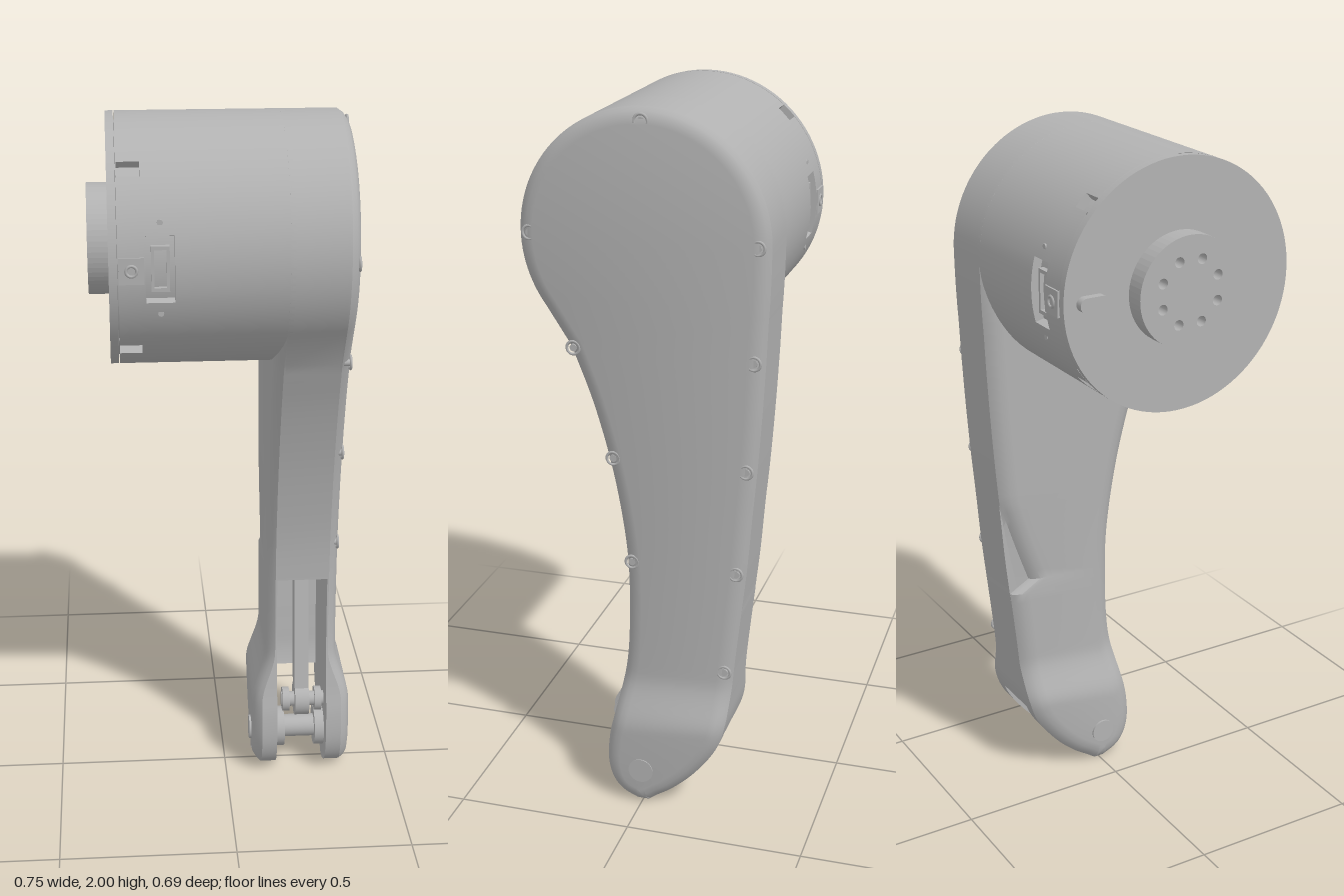
import * as THREE from 'three';
import { toCreasedNormals } from 'three/addons/utils/BufferGeometryUtils.js';

const CY = 1.659, R = 0.341; // drum axis height and radius

export function createModel() {
  const group = new THREE.Group();
  const grey = new THREE.MeshStandardMaterial({ color: 0xb2b2b2, side: THREE.DoubleSide });
  grey.name = 'light grey';

  const add = (name, geo, x = 0, y = 0, z = 0) => {
    const m = new THREE.Mesh(geo, grey);
    m.name = name;
    m.position.set(x, y, z);
    group.add(m);
    return m;
  };
  // cylinder lying along x, from x0 to x1
  const rod = (name, x0, x1, r, y, z, n = 32) =>
    add(name, new THREE.CylinderGeometry(r, r, x1 - x0, n).rotateZ(-Math.PI / 2), (x0 + x1) / 2, y, z);
  const fromTriangles = (pos, crease = 0.6) => {
    const g = new THREE.BufferGeometry();
    g.setAttribute('position', new THREE.Float32BufferAttribute(pos, 3));
    g.computeVertexNormals();
    return toCreasedNormals(g, crease);
  };

  // Side outline of the arm as rows: x = front edge z, y = height, z = back edge z
  const table = [
    [0.015, 0.002, -0.015], [0.055, 0.02, -0.04], [0.085, 0.05, -0.085], [0.104, 0.11, -0.15], [0.1, 0.2, -0.215],
    [0.085, 0.27, -0.238], [0.07, 0.35, -0.247], [0.055, 0.45, -0.256], [0.049, 0.6, -0.272], [0.053, 0.75, -0.288],
    [0.073, 0.9, -0.3], [0.102, 1.04, -0.312], [0.148, 1.2, -0.323], [0.205, 1.35, -0.331],
  ];
  const rows = new THREE.CatmullRomCurve3(table.map(p => new THREE.Vector3(...p))).getPoints(65);
  for (let i = 0; i <= 40; i++) {
    const a = THREE.MathUtils.lerp(-0.64, 1.53, i / 40), f = R * Math.cos(a);
    rows.push(new THREE.Vector3(f, CY + R * Math.sin(a), a < 0 ? -R + 0.006 * (a / 0.64) ** 2 : -f));
  }

  // Loft the outline along x through sections [x, inset, bulge direction]
  const loft = (rws, sections, scoop = false) => {
    const n = rws.length;
    const loop = [...rws.map(r => [r.x, r.y]), ...[...rws].reverse().map(r => [r.z, r.y])];
    const L = loop.length;
    const rings = sections.map(([x, inset, bulge]) => loop.map(([z, y], i) => {
      const p = loop[(i + L - 1) % L], q = loop[(i + 1) % L];
      const dz = q[0] - p[0], dy = q[1] - p[1], len = Math.hypot(dz, dy) || 1;
      let d = inset;
      // tapered scoop in the inner back edge
      if (scoop && bulge && i >= n && y > 0.64 && y < 0.93) d += 0.07 * (0.93 - y) / 0.29;
      const b = 1 - THREE.MathUtils.smoothstep(y, 0.24, 0.4);
      return [x + 0.04 * bulge * b, y + (dz / len) * d, z - (dy / len) * d];
    }));
    const pos = [];
    const quad = (a, b, c, d) => pos.push(...a, ...b, ...c, ...a, ...c, ...d);
    for (let s = 0; s < rings.length - 1; s++)
      for (let i = 0; i < L; i++) {
        const j = (i + 1) % L;
        quad(rings[s][i], rings[s + 1][i], rings[s + 1][j], rings[s][j]);
      }
    const lo = rings[0], hi = rings[rings.length - 1];
    for (let i = 0; i < n - 1; i++) {
      const k = L - 1 - i;
      quad(hi[i], hi[k], hi[k - 1], hi[i + 1]);
      quad(lo[i], lo[i + 1], lo[k - 1], lo[k]);
    }
    return fromTriangles(pos);
  };

  // Arm: two rounded shells whose lower ends form the fork cheeks
  add('outerArmShell', loft(rows, [[0.3, 0, 0], [0.305, 0, 1], [0.319, 0.01, 1], [0.328, 0.024, 1], [0.332, 0.042, 1]]));
  add('innerArmShell', loft(rows, [[0.12, 0.05, -1], [0.125, 0.028, -1], [0.136, 0.01, -1], [0.147, 0, -1], [0.152, 0, 0]], true));

  // Arm core: solid above the slot, only a back web beside it
  const low = rows.filter(r => r.y > 0.22 && r.y < 0.62).map(r => new THREE.Vector3(r.z + 0.05, r.y, r.z));
  const high = rows.filter(r => r.y >= 0.62);
  const step = new THREE.Vector3(high[0].z + 0.05, high[0].y - 0.001, high[0].z);
  add('armCore', loft([...low, step, ...high], [[0.15, 0, 0], [0.302, 0, 0]]));

  // Drum skin: a grid of cells, leaving out the slots and windows and walling their edges
  const N = 96, xs = [-0.295, -0.235, -0.225, -0.15, 0.16];
  const solid = (i, k) => {
    if (k < 0 || k > 3) return true;
    const a = ((i + 0.5) / N) * Math.PI * 2;
    const near = (c, w) => Math.abs(Math.atan2(Math.sin(a - c), Math.cos(a - c))) < w;
    if (k === 0) return ![1, 3, 5, 7].some(q => near(q * Math.PI / 4, 0.075));
    if (k === 2) return !(near(0, 0.27) || near(Math.PI, 0.27));
    return true;
  };
  const skin = [];
  const at = (i, x, r) => {
    const a = (i / N) * Math.PI * 2;
    return [x, CY + r * Math.sin(a), r * Math.cos(a)];
  };
  const face = (a, b, c, d) => skin.push(...a, ...b, ...c, ...a, ...c, ...d);
  const RI = 0.316;
  for (let i = 0; i < N; i++)
    for (let k = 0; k < 4; k++) {
      const x0 = xs[k], x1 = xs[k + 1];
      if (solid(i, k)) { face(at(i, x0, R), at(i, x1, R), at(i + 1, x1, R), at(i + 1, x0, R)); continue; }
      if (solid(i - 1, k)) face(at(i, x0, R), at(i, x1, R), at(i, x1, RI), at(i, x0, RI));
      if (solid(i + 1, k)) face(at(i + 1, x0, R), at(i + 1, x0, RI), at(i + 1, x1, RI), at(i + 1, x1, R));
      if (solid(i, k - 1)) face(at(i, x0, R), at(i, x0, RI), at(i + 1, x0, RI), at(i + 1, x0, R));
      if (solid(i, k + 1)) face(at(i, x1, R), at(i + 1, x1, R), at(i + 1, x1, RI), at(i, x1, RI));
    }
  add('drumSkin', fromTriangles(skin));
  rod('drumCore', -0.297, 0.15, RI, CY, 0, 96);
  rod('drumEndPlate', -0.32, -0.298, R, CY, 0, 96);

  // Hub with a ring of bolt holes
  const hub = new THREE.Shape().absarc(0, 0, 0.151, 0, Math.PI * 2);
  for (let i = 0; i < 8; i++) {
    const a = (i + 0.5) * Math.PI / 4;
    hub.holes.push(new THREE.Path().absarc(0.09 * Math.cos(a), 0.09 * Math.sin(a), 0.014, 0, Math.PI * 2, true));
  }
  add('hub', new THREE.ExtrudeGeometry(hub, { depth: 0.055, bevelEnabled: false, curveSegments: 32 })
    .rotateY(-Math.PI / 2), -0.32, CY, 0);

  // Locating key on the end plate
  const key = new THREE.Shape().absarc(0.022, 0, 0.02, -Math.PI / 2, Math.PI / 2);
  key.absarc(-0.022, 0, 0.02, Math.PI / 2, Math.PI * 1.5);
  add('endPlateKey', new THREE.ExtrudeGeometry(key, { depth: 0.022, bevelEnabled: false })
    .rotateY(-Math.PI / 2), -0.32, CY, -0.262);

  // Window frames, latch pads and small screws on the front and back of the drum
  for (const s of [1, -1]) {
    const frame = new THREE.Shape([[-0.024, -0.06], [0.024, -0.06], [0.024, 0.06], [-0.024, 0.06]].map(p => new THREE.Vector2(...p)));
    frame.holes.push(new THREE.Path([[-0.016, -0.05], [-0.016, 0.05], [0.016, 0.05], [0.016, -0.05]].map(p => new THREE.Vector2(...p))));
    add('windowFrame', new THREE.ExtrudeGeometry(frame, { depth: 0.016, bevelEnabled: false }), -0.187, CY, s * 0.318 - 0.008);
    add('latchPad', new THREE.BoxGeometry(0.066, 0.07, 0.008), -0.262, CY, s * 0.34);
    add('latchScrew', new THREE.TorusGeometry(0.014, 0.004, 6, 20), -0.262, CY, s * 0.344);
    for (const t of [1, -1])
      add('windowScrew', new THREE.CylinderGeometry(0.008, 0.008, 0.006, 12).rotateX(Math.PI / 2), -0.187, CY + t * 0.12, s * 0.318);
  }

  // Cover screws around the rim of the outer face
  const screws = [[0, 1.966], [0.309, CY], [0.193, 1.352], [0.085, 1.047], [0.034, 0.745],
    [-0.309, CY], [-0.303, 1.352], [-0.286, 1.047], [-0.262, 0.745], [-0.232, 0.44]];
  for (const [z, y] of screws) {
    add('coverScrewRim', new THREE.TorusGeometry(0.018, 0.004, 6, 24).rotateY(Math.PI / 2), 0.328, y, z);
    rod('coverScrew', 0.31, 0.329, 0.01, y, z, 16);
  }

  // Fork pivot: shaft, inner bosses and end caps
  rod('pivotShaft', 0.14, 0.31, 0.034, 0.11, 0);
  rod('pivotBoss', 0.145, 0.18, 0.06, 0.11, 0);
  rod('pivotBoss', 0.272, 0.305, 0.06, 0.11, 0);
  for (const [a, b] of [[0.074, 0.082], [0.37, 0.375]]) rod('pivotCap', a, b, 0.036, 0.11, 0);

  // Push rod running up the slot, with its pin and collars
  const dy = 0.47, dz = -0.085;
  const link = add('pushRod', new THREE.BoxGeometry(0.042, Math.hypot(dy, dz), 0.055), 0.225, 0.25 + dy / 2, 0.07 + dz / 2);
  link.rotation.x = Math.atan2(dz, dy);
  rod('pushRodEye', 0.204, 0.246, 0.05, 0.245, 0.068);
  rod('linkPin', 0.165, 0.292, 0.022, 0.245, 0.072);
  rod('linkCollar', 0.168, 0.188, 0.036, 0.245, 0.072);
  rod('linkCollar', 0.264, 0.284, 0.036, 0.245, 0.072);

  return group;
}
